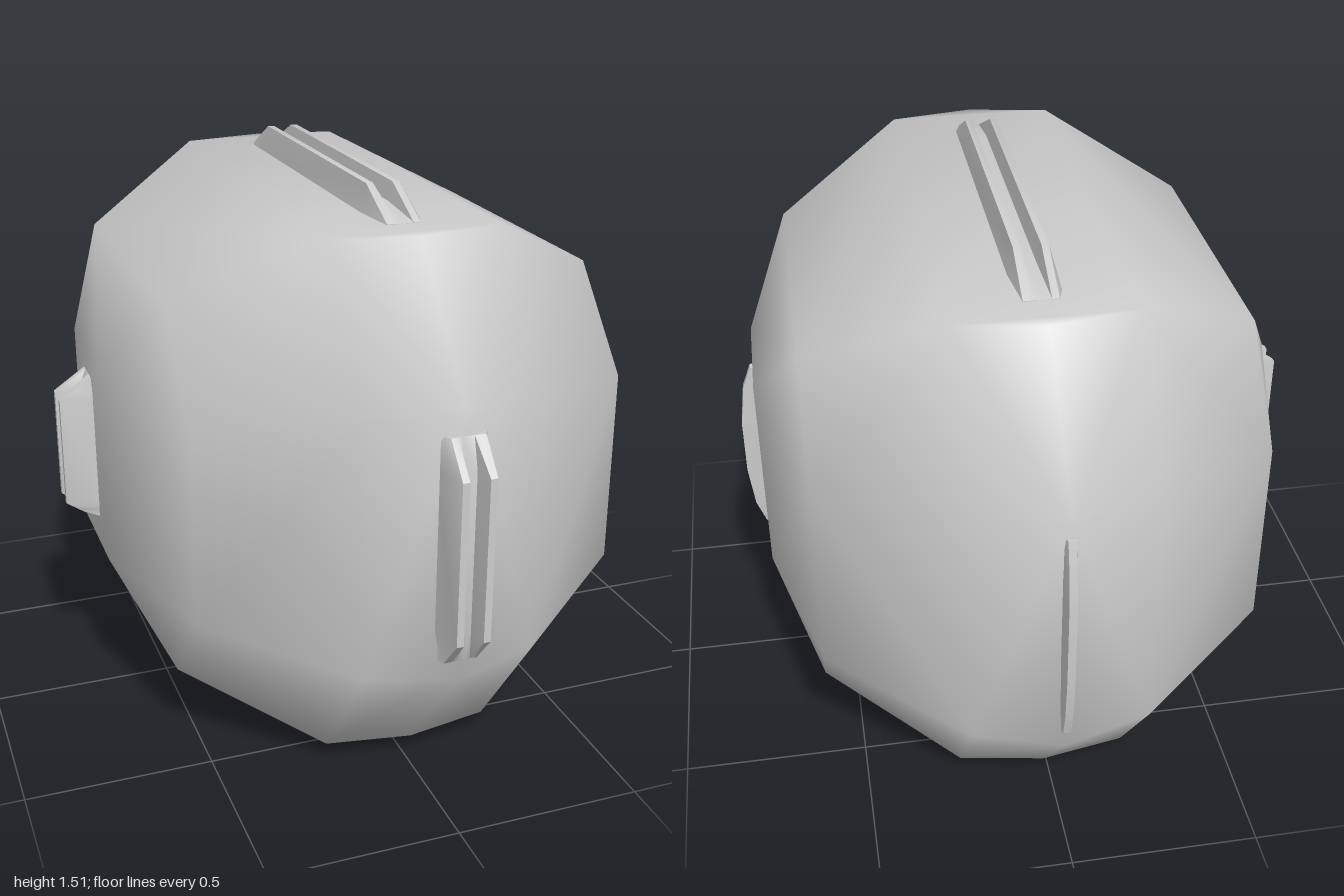
import * as THREE from 'three';
import { ConvexGeometry } from 'three/addons/geometries/ConvexGeometry.js';
import { mergeVertices, toCreasedNormals } from 'three/addons/utils/BufferGeometryUtils.js';

const material = new THREE.MeshStandardMaterial({ color: 0xcccccc });

// One octant of the faceted body, mirrored over all three planes
function bodyGeometry() {
  const octant = [
    [0, 0.6925, 0.66], [0.2275, 0.6925, 0.62], [0, 0.35, 0.945], [0.2275, 0.34, 0.885],
    [0.575, 0.512, 0.41], [0.575, 0.26, 0.63], [0.695, 0.285, 0.16],
  ];
  const points = [];
  for (const [x, y, z] of octant)
    for (const sx of x ? [1, -1] : [1])
      for (const sy of [1, -1])
        for (const sz of [1, -1]) points.push(new THREE.Vector3(sx * x, sy * y, sz * z));
  let geometry = new ConvexGeometry(points);
  geometry.deleteAttribute('normal');
  geometry = mergeVertices(geometry);
  geometry.computeVertexNormals();
  return geometry;
}

// Half sections: [width, height factor], from the buried base up
const SINGLE = [[0.022, 0], [0.01, 1]];
const DOUBLE = [[0.064, 0], [0.044, 1], [0.026, 1], [0.015, 0.33]];

// Rib lofted along z; stations are [z fraction, height fraction]
function ribGeometry(half, length, height, stations) {
  const depth = 0.03;
  const section = [...half, ...half.map(([w, k]) => [-w, k]).reverse()];
  const n = section.length;
  const rows = [
    ...stations.map(([z, h]) => [-z * length, h * height]),
    ...stations.map(([z, h]) => [z * length, h * height]).reverse(),
  ];
  const positions = [];
  const index = [];
  for (const [z, h] of rows)
    for (const [w, k] of section) positions.push(w, k === 0 ? -depth : k * h, z);
  for (let i = 0; i < rows.length - 1; i++)
    for (let j = 0; j < n; j++) {
      const a = i * n + j, b = i * n + (j + 1) % n;
      index.push(a, b, a + n, b, b + n, a + n);
    }
  // End caps
  const outline = section.map(([w, k]) => new THREE.Vector2(w, k));
  const last = (rows.length - 1) * n;
  for (const [a, b, c] of THREE.ShapeUtils.triangulateShape(outline, []))
    index.push(a, c, b, last + a, last + b, last + c);
  const geometry = new THREE.BufferGeometry();
  geometry.setAttribute('position', new THREE.Float32BufferAttribute(positions, 3));
  geometry.setIndex(index);
  return toCreasedNormals(geometry, 0.6);
}

export function createModel() {
  const group = new THREE.Group();
  const core = new THREE.Group();
  core.name = 'faceted block';
  core.position.set(0.0175, 0.7475, -0.0175);
  group.add(core);

  const body = new THREE.Mesh(bodyGeometry(), material);
  body.name = 'body';
  core.add(body);

  const X = new THREE.Vector3(1, 0, 0), Y = new THREE.Vector3(0, 1, 0), Z = new THREE.Vector3(0, 0, 1);
  const bevel = (flat) => [[1, 0.02], [flat, 1]];
  const bow = (flat) => [[1, 0.18], [0.75, 0.7], [flat, 1]];

  // Name, half section, outward direction, run direction, surface distance, half length, height, stations
  const ribs = [
    ['topDoubleRib', DOUBLE, Y, Z, 0.6925, 0.54, 0.0725, bevel(0.74)],
    ['frontDoubleRib', DOUBLE, Z, Y, 0.945, 0.295, 0.0725, bevel(0.72)],
    ['rightDoubleRib', DOUBLE, X.clone().negate(), Y, 0.695, 0.21, 0.0875, [[1, 0.02], [0.85, 0.55], [0.72, 1]]],
    ['bottomRib', SINGLE, Y.clone().negate(), Z, 0.6925, 0.57, 0.055, bow(0.36)],
    ['backRib', SINGLE, Z.clone().negate(), Y, 0.945, 0.3, 0.0375, bow(0.36)],
    ['leftRib', SINGLE, X, Y, 0.695, 0.26, 0.0475, bow(0.3)],
  ];
  for (const [name, half, up, run, distance, length, height, stations] of ribs) {
    const mesh = new THREE.Mesh(ribGeometry(half, length, height, stations), material);
    mesh.name = name;
    const side = new THREE.Vector3().crossVectors(up, run);
    mesh.quaternion.setFromRotationMatrix(new THREE.Matrix4().makeBasis(side, up, run));
    mesh.position.copy(up).multiplyScalar(distance);
    core.add(mesh);
  }
  return group;
}
